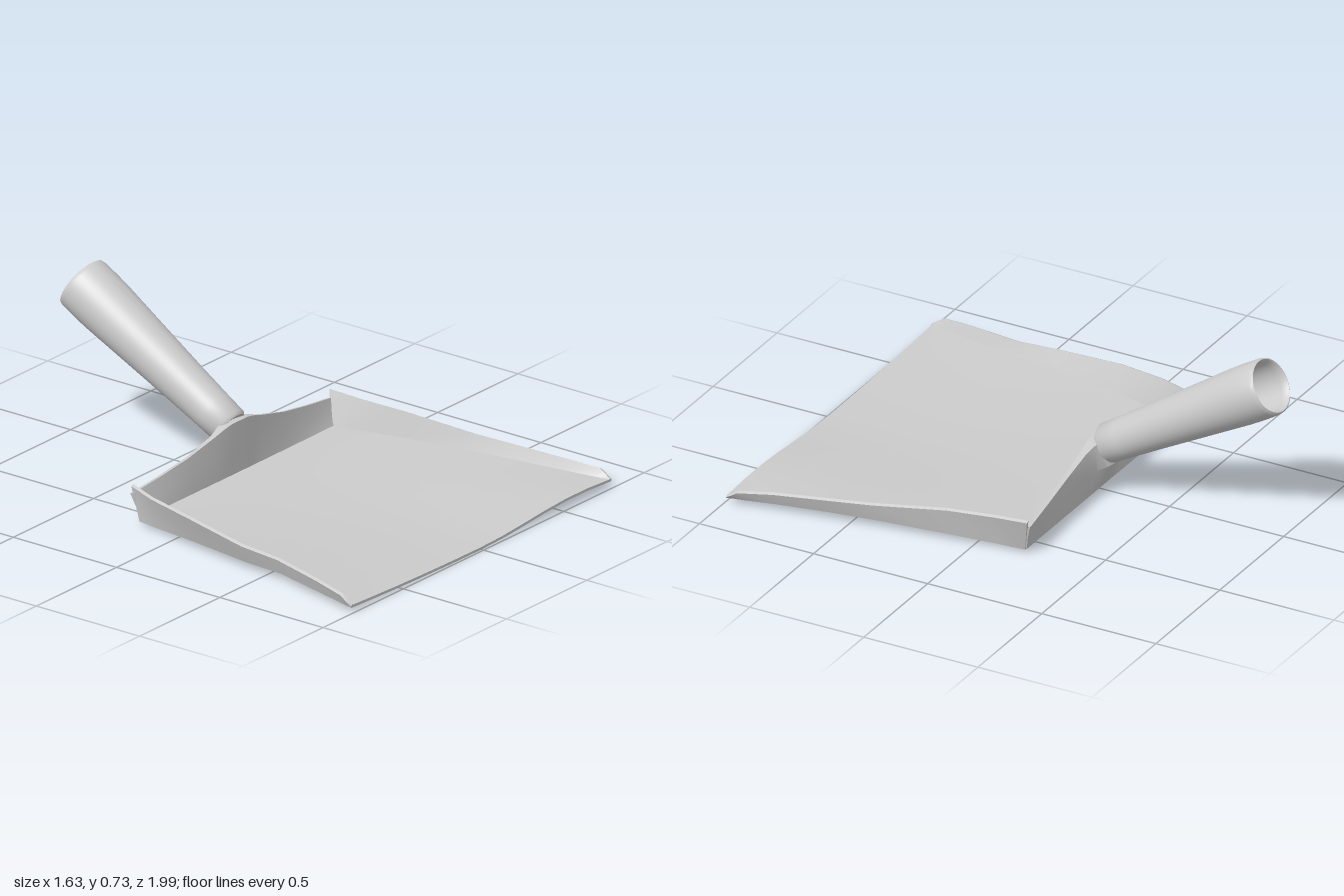
import * as THREE from 'three';
import { toCreasedNormals } from 'three/addons/utils/BufferGeometryUtils.js';

const material = new THREE.MeshStandardMaterial({ color: 0xcccccc, side: THREE.DoubleSide });

// Closed slab between two matching point grids, indexed [row][column]
function slab(name, face, back) {
  const pos = [];
  const quad = (a, b, c, d) => pos.push(...a, ...b, ...c, ...a, ...c, ...d);
  const R = face.length - 1, C = face[0].length - 1;
  for (let r = 0; r < R; r++) {
    for (let c = 0; c < C; c++) {
      quad(face[r][c], face[r + 1][c], face[r + 1][c + 1], face[r][c + 1]);
      quad(back[r][c], back[r][c + 1], back[r + 1][c + 1], back[r + 1][c]);
    }
    quad(face[r][0], back[r][0], back[r + 1][0], face[r + 1][0]);
    quad(face[r][C], face[r + 1][C], back[r + 1][C], back[r][C]);
  }
  for (let c = 0; c < C; c++) {
    quad(face[0][c], face[0][c + 1], back[0][c + 1], back[0][c]);
    quad(face[R][c], back[R][c], back[R][c + 1], face[R][c + 1]);
  }
  const geo = new THREE.BufferGeometry();
  geo.setAttribute('position', new THREE.Float32BufferAttribute(pos, 3));
  const mesh = new THREE.Mesh(toCreasedNormals(geo, 0.6), material);
  mesh.name = name;
  return mesh;
}

// Slightly warped underside of the floor; u runs -1..1 across the width
function underside(u, z) {
  const s = THREE.MathUtils.clamp((z + 0.2) / 1.19, 0, 1);
  const lift = 0.018 * u * u * Math.sin(Math.PI * s);
  const wave = u < 0 ? 0.018 * u * u : 0.032 * Math.sin(u * 2.1) ** 2;
  return 0.014 * (1 - s) + 0.003 * s + lift + wave * s * s;
}

// Floor with the two flared side walls
function createTray() {
  // z, floor edge and wall top on the -x side, the same on the +x side, wall height
  const stations = [
    [-0.2, 0.59, 0.61, 0.585, 0.638, 0.162],
    [-0.1, 0.61, 0.658, 0.60, 0.645, 0.155],
    [0.1, 0.645, 0.70, 0.635, 0.668, 0.145],
    [0.4, 0.70, 0.74, 0.685, 0.717, 0.112],
    [0.58, 0.71, 0.743, 0.715, 0.748, 0.10],
    [0.8, 0.76, 0.789, 0.755, 0.784, 0.085],
    [0.94, 0.79, 0.818, 0.785, 0.814, 0.07],
    [0.97, 0.797, 0.818, 0.79, 0.815, 0.05],
    [0.99, 0.80, 0.812, 0.795, 0.812, 0.035],
  ];
  const top = [], bottom = [], steps = 12;
  stations.forEach(([z, fl, tl, fr, tr, h], i) => {
    const zTop = i ? z : -0.232;
    const thick = 0.02 - 0.008 * (z + 0.2);
    const wall = Math.max(h, underside(1, z) + 0.012);
    const t = [[-tl + 0.012, h, zTop]], b = [[-tl, h - 0.006, zTop]];
    for (let k = 0; k <= steps; k++) {
      const u = (k / steps) * 2 - 1, y = underside(u, z);
      const x = THREE.MathUtils.lerp(-fl, fr, k / steps);
      const out = k === 0 ? -0.01 : k === steps ? 0.01 : 0;
      t.push([x, y + thick, z]);
      b.push([x + out, y, z]);
    }
    t.push([tr - 0.012, wall, zTop]);
    b.push([tr, wall - 0.006, zTop]);
    top.push(t);
    bottom.push(b);
  });
  return slab('tray', top, bottom);
}

// Back wall, rising to the middle and bulging out to carry the handle
function createBackWall() {
  // x at bottom, x at top, height, z of inner top, z of outer top, z of outer middle
  const half = [
    [0, 0, 0.245, -0.18, -0.23, -0.268],
    [0.05, 0.05, 0.245, -0.18, -0.23, -0.258],
    [0.09, 0.09, 0.237, -0.182, -0.222, -0.235],
    [0.14, 0.14, 0.221, -0.187, -0.212, -0.219],
    [0.3, 0.3, 0.182, -0.195, -0.212, -0.213],
    [0.45, 0.455, 0.155, -0.206, -0.222, -0.213],
    [0.588, 0.615, 0.132, -0.218, -0.233, -0.216],
  ];
  const row = (s, p) => [p[0] * s, p[1] * s, ...p.slice(2)];
  const rows = [...half.slice(1).reverse().map((p) => row(-1, p)), ...half];
  const inner = rows.map(([xb, xt, h, zi]) => [
    [xb, 0.03, -0.182],
    [(xb + xt) / 2, h * 0.55, (zi - 0.182) / 2],
    [xt, h, zi],
  ]);
  const outer = rows.map(([xb, xt, h, , zo, zm]) => [
    [xb, 0.014, -0.203],
    [(xb + xt) / 2, h * 0.55, zm],
    [xt, h - 0.004, zo],
  ]);
  return slab('backWall', inner, outer);
}

// Hollow tapered handle with a rounded rim
function createHandle() {
  const profile = [
    [0, 0.02], [0.07, 0.0], [0.08, 0.012], [0.083, 0.1], [0.09, 0.25], [0.101, 0.45],
    [0.114, 0.68], [0.116, 0.75], [0.115, 0.815], [0.112, 0.831], [0.107, 0.834],
    [0.102, 0.828], [0.1, 0.8], [0.098, 0.68], [0.076, 0.25], [0.066, 0.06], [0, 0.05],
  ].map(([r, y]) => new THREE.Vector2(r, y));
  const geo = new THREE.LatheGeometry(profile, 40);
  const p = geo.attributes.position;
  for (let i = 0; i < p.count; i++) p.setX(i, p.getX(i) - 0.014 * p.getY(i));
  geo.computeVertexNormals();
  const mesh = new THREE.Mesh(toCreasedNormals(geo, 0.9), material);
  mesh.name = 'handle';
  mesh.position.set(0, 0.205, -0.225);
  mesh.rotation.x = -1.03;
  return mesh;
}

export function createModel() {
  const model = new THREE.Group();
  model.name = 'dustpan';
  model.add(createTray(), createBackWall(), createHandle());
  return model;
}
